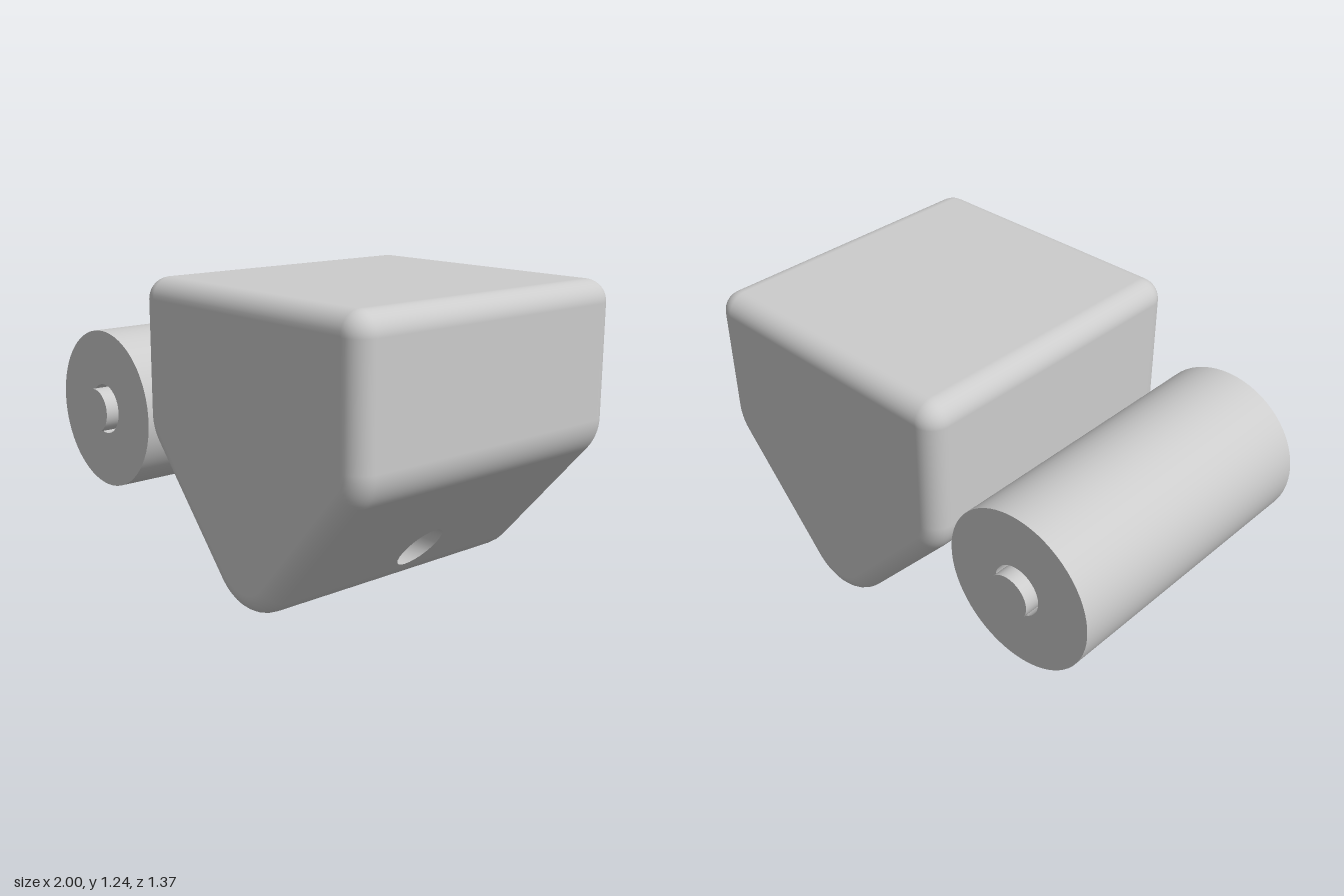
import * as THREE from 'three';
import { mergeGeometries } from 'three/addons/utils/BufferGeometryUtils.js';

// Block dimensions
const CX = 0.36, HALF = 0.64, TOP = 1.235, DEPTH = 0.68, BEVEL = 0.085;
const R_TOP = 0.09, R_SIDE = 0.2, R_TIP = 0.227;
const TILT = THREE.MathUtils.degToRad(41.6); // slope normal below the horizontal
const HOLE_Y = 0.188, HOLE_R = 0.093;
const NX = Math.cos(TILT), NY = -Math.sin(TILT);
// Shoulder centre that makes the slope tangent to both the tip and the shoulder arcs
const SHOULDER_Y = R_TIP - (NX * (HALF - R_SIDE) + R_SIDE - R_TIP) / NY;

// Distance of the sloped face from the block's middle plane at height y
const slopeX = (y) => (NY * R_TIP + R_TIP - NY * y) / NX;

// Rounded pentagon, counter-clockwise, as inset points with outward normals
function outline(steps) {
  const arcs = [
    [HALF - R_SIDE, SHOULDER_Y, R_SIDE, -TILT, 0],
    [HALF - R_TOP, TOP - R_TOP, R_TOP, 0, Math.PI / 2],
    [R_TOP - HALF, TOP - R_TOP, R_TOP, Math.PI / 2, Math.PI],
    [R_SIDE - HALF, SHOULDER_Y, R_SIDE, Math.PI, Math.PI + TILT],
    [0, R_TIP, R_TIP, Math.PI + TILT, 2 * Math.PI - TILT],
  ];
  const points = [];
  for (const [x, y, r, a0, a1] of arcs) {
    for (let i = 0; i <= steps; i++) {
      const a = a0 + (a1 - a0) * i / steps;
      const nx = Math.cos(a), ny = Math.sin(a);
      points.push({ x: x + nx * (r - BEVEL), y: y + ny * (r - BEVEL), nx, ny });
    }
  }
  return points;
}

// Rounded walls, leaving the two flat slopes open
function wallGeometry(points, arcSteps, bevelSteps = 8) {
  const pos = [], nor = [], index = [], n = points.length;
  for (const side of [0, 1]) {
    for (let k = 0; k <= bevelSteps; k++) {
      const t = (side + k / bevelSteps) * Math.PI / 2;
      const s = Math.sin(t), c = Math.cos(t);
      const z = (side ? -1 : 1) * (DEPTH - BEVEL) + BEVEL * c;
      for (const p of points) {
        pos.push(p.x + p.nx * BEVEL * s, p.y + p.ny * BEVEL * s, z);
        nor.push(p.nx * s, p.ny * s, c);
      }
    }
  }
  const slopes = [4 * (arcSteps + 1) - 1, n - 1];
  for (let i = 0; i < 2 * bevelSteps + 1; i++) {
    for (let j = 0; j < n; j++) {
      if (i === bevelSteps && slopes.includes(j)) continue;
      const k = (j + 1) % n;
      const a = i * n + j, b = a + n, c = (i + 1) * n + k, d = i * n + k;
      index.push(a, b, c, a, c, d);
    }
  }
  const g = new THREE.BufferGeometry();
  g.setAttribute('position', new THREE.Float32BufferAttribute(pos, 3));
  g.setAttribute('normal', new THREE.Float32BufferAttribute(nor, 3));
  g.setIndex(index);
  return g;
}

// Sloped panel pierced by the horizontal bore
function slopeGeometry() {
  const y0 = R_TIP + NY * R_TIP, y1 = SHOULDER_Y + NY * R_SIDE, w = DEPTH - BEVEL;
  const shape = new THREE.Shape([[-w, y0], [w, y0], [w, y1], [-w, y1]]
    .map(([u, v]) => new THREE.Vector2(u, v)));
  shape.holes.push(new THREE.Path().absarc(0, HOLE_Y, HOLE_R, 0, Math.PI * 2, true));
  const g = new THREE.ShapeGeometry(shape, 12);
  const p = g.attributes.position;
  for (let i = 0; i < p.count; i++) {
    const u = p.getX(i), y = p.getY(i);
    p.setXYZ(i, slopeX(y), y, -u);
  }
  g.computeVertexNormals();
  return g;
}

// Bore wall facing inwards, its ends trimmed to the slopes
function boreGeometry() {
  const profile = [new THREE.Vector2(HOLE_R, 1), new THREE.Vector2(HOLE_R, -1)];
  const g = new THREE.LatheGeometry(profile, 24);
  g.rotateZ(Math.PI / 2).translate(0, HOLE_Y, 0);
  const p = g.attributes.position;
  for (let i = 0; i < p.count; i++) {
    p.setX(i, Math.sign(p.getX(i)) * slopeX(p.getY(i)));
  }
  return g;
}

// Hollow cylinder along z with sharp rims
function tubeGeometry(inner, outer, half) {
  const corners = [[inner, -half], [outer, -half], [outer, half], [inner, half]]
    .map(([r, y]) => new THREE.Vector2(r, y));
  const sides = corners.map((c, i) => new THREE.LatheGeometry([c, corners[(i + 1) % 4]], 64));
  return mergeGeometries(sides).rotateX(Math.PI / 2);
}

export function createModel() {
  const model = new THREE.Group();
  const grey = new THREE.MeshStandardMaterial({ color: 0xcccccc });
  grey.name = 'grey';

  const add = (parent, name, geometry) => {
    const mesh = new THREE.Mesh(geometry, grey);
    mesh.name = name;
    parent.add(mesh);
  };

  // Wedge-bottomed block
  const block = new THREE.Group();
  block.name = 'block';
  block.position.x = CX;
  model.add(block);
  const arcSteps = 10;
  const points = outline(arcSteps);
  add(block, 'blockWalls', wallGeometry(points, arcSteps));
  const face = new THREE.Shape(points.map((p) => new THREE.Vector2(p.x, p.y)));
  for (const [end, turn] of [['front', 0], ['back', Math.PI]]) {
    add(block, end + 'Face', new THREE.ShapeGeometry(face).translate(0, 0, DEPTH).rotateY(turn));
  }
  for (const [side, turn] of [['left', 0], ['right', Math.PI]]) {
    add(block, side + 'Slope', slopeGeometry().rotateY(turn));
  }
  add(block, 'bore', boreGeometry());

  // Roller turning on a loose axle
  const roller = new THREE.Group();
  roller.name = 'rollerAssembly';
  roller.position.set(-0.66, 0.62, 0);
  model.add(roller);
  add(roller, 'roller', tubeGeometry(0.107, 0.34, 0.638));
  add(roller, 'axle', new THREE.CylinderGeometry(0.093, 0.093, 1.374, 48).rotateX(Math.PI / 2));

  return model;
}
